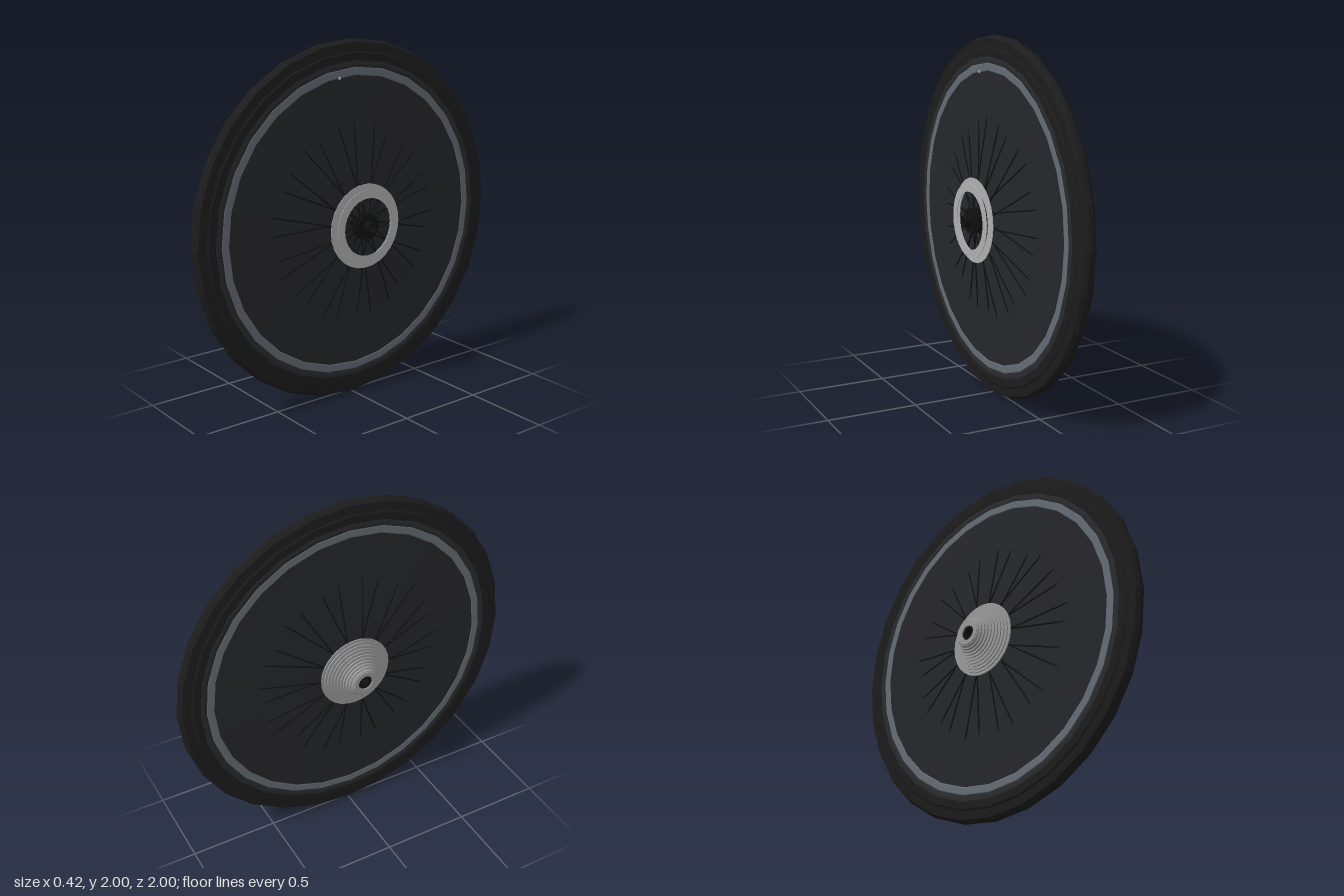
import * as THREE from 'three';

const MID = 0.008; // middle plane of the wheel along the axle
const SIDES = 28;

const mat = (color, flatShading = false) =>
  new THREE.MeshStandardMaterial({ color, flatShading, side: THREE.DoubleSide });
const rubber = mat(0x1c1c1c, true);
const sidewall = mat(0x2a2b2e, true);
const rimGrey = mat(0x656c74, true);
const carbon = mat(0x26272b, true);
const black = mat(0x101010, true);
const steel = mat(0xb0b0b0, true);
const sprocketGrey = mat(0x989898, true);

// Turns a list of [radius, x] points around the axle
function turned(name, points, material, sides = SIDES) {
  const geo = new THREE.LatheGeometry(points.map(([r, x]) => new THREE.Vector2(r, x)), sides);
  geo.rotateZ(-Math.PI / 2);
  const mesh = new THREE.Mesh(geo, material);
  mesh.name = name;
  return mesh;
}

// Mirrors half a profile of [radius, half width] about the middle plane
function mirrored(half) {
  return [
    ...half.map(([r, w]) => [r, MID - w]),
    ...half.slice().reverse().map(([r, w]) => [r, MID + w]),
  ];
}

// Ring with a rectangular section between two radii
function ring(name, inner, outer, x0, x1, material, sides = SIDES) {
  return turned(name,
    [[inner, x0], [outer, x0], [outer, x1], [inner, x1], [inner, x0]], material, sides);
}

function rod(name, a, b, radius, material) {
  const geo = new THREE.TubeGeometry(new THREE.LineCurve3(a, b), 1, radius, 5);
  const mesh = new THREE.Mesh(geo, material);
  mesh.name = name;
  return mesh;
}

// Point at an angle around the axle
const polar = (x, r, a) => new THREE.Vector3(x, r * Math.cos(a), r * Math.sin(a));

function createModel() {
  const model = new THREE.Group();
  model.name = 'rearWheel';
  const wheel = new THREE.Group();
  wheel.name = 'wheelAssembly';
  wheel.position.y = 1;
  model.add(wheel);

  // Tyre with rounded crown and stepped sidewall
  wheel.add(turned('tyre', mirrored([
    [0.885, 0.042], [0.93, 0.042], [0.938, 0.036], [0.985, 0.033], [1, 0.012],
  ]), rubber));

  // Rim bands below the tyre
  wheel.add(turned('rimEdge', mirrored([[0.85, 0.041], [0.87, 0.044], [0.888, 0.043]]), sidewall));
  wheel.add(turned('rim', mirrored([[0.81, 0.041], [0.815, 0.043], [0.85, 0.043], [0.855, 0.041]]), rimGrey));

  // Closed disc filling the wheel, open only for the axle
  wheel.add(turned('disc', mirrored([
    [0.03, 0.054], [0.3, 0.052], [0.55, 0.046], [0.812, 0.041],
  ]), carbon));

  // Crossed spokes running from the hub flanges through the disc
  const spokes = new THREE.Group();
  spokes.name = 'spokes';
  const perSide = 28;
  for (const side of [-1, 1]) {
    for (let i = 0; i < perSide; i++) {
      const lean = i % 2 ? 1 : -1;
      const angle = ((i + (side > 0 ? 0 : 0.5)) / perSide) * Math.PI * 2;
      const inset = (i % 3) * 0.005;
      spokes.add(rod('spoke',
        polar(MID + side * (0.118 - inset), 0.06, angle - lean * 0.5),
        polar(MID + side * 0.003, 0.83, angle), 0.004, black));
    }
  }
  wheel.add(spokes);

  // Hub shell, hollow along the axle
  wheel.add(turned('hub', [
    [0.025, -0.2], [0.04, -0.2], [0.04, -0.115], [0.07, -0.11], [0.07, -0.095], [0.04, -0.085],
    [0.04, 0.1], [0.07, 0.11], [0.07, 0.125], [0.045, 0.13], [0.035, 0.17],
    [0.035, 0.2], [0.03, 0.207], [0.025, 0.207], [0.025, -0.2],
  ], black, 20));
  [[0.135, 0.07], [0.16, 0.07], [0.185, 0.036]].forEach(([x, r]) =>
    wheel.add(ring('hubCollar', 0.03, r, x - 0.006, x + 0.006, black, 20)));

  // Two thin rings beside the hub
  wheel.add(ring('outerRing', 0.175, 0.235, 0.139, 0.142, steel));
  wheel.add(ring('innerRing', 0.16, 0.208, 0.163, 0.166, steel));

  // Sprocket stack tapering outward
  const cassette = new THREE.Group();
  cassette.name = 'cassette';
  const count = 11;
  for (let i = 0; i < count; i++) {
    const t = i / (count - 1);
    const x = -0.09 - 0.113 * t;
    const r = 0.21 - 0.132 * t;
    cassette.add(ring('sprocket', 0.042, r, x - 0.0035, x + 0.0035, sprocketGrey));
  }
  cassette.add(turned('cassetteCore',
    [[0.045, -0.21], [0.07, -0.21], [0.19, -0.088], [0.045, -0.088]], sprocketGrey));
  wheel.add(cassette);

  // Valve tip near the rim
  const valve = new THREE.Mesh(new THREE.SphereGeometry(0.01, 8, 6), steel);
  valve.name = 'valve';
  valve.position.set(0.046, 0.8, 0.105);
  wheel.add(valve);

  return model;
}

export { createModel };
